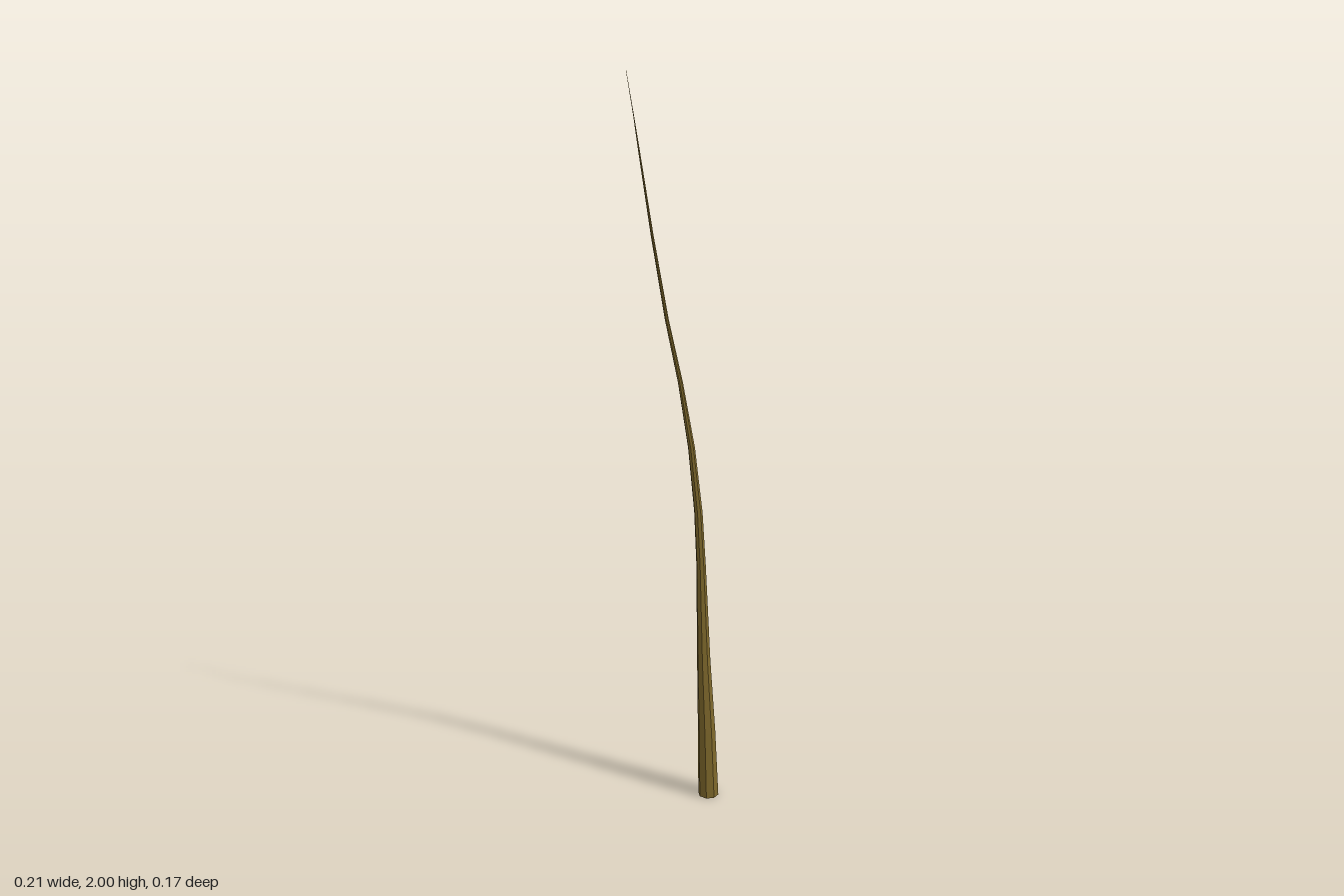
import * as THREE from 'three';

// Cross-sections from base to tip: [x, y, z, radius]
const RINGS = [
  [0.076, 0, -0.057, 0.028],
  [0.071, 0.2, -0.052, 0.024],
  [0.063, 0.42, -0.046, 0.018],
  [0.056, 0.7, -0.038, 0.0125],
  [0.049, 0.85, -0.034, 0.011],
  [0.032, 1.03, -0.026, 0.009],
  [0.007, 1.21, -0.007, 0.0065],
  [-0.023, 1.38, 0.015, 0.005],
  [-0.053, 1.6, 0.043, 0.0035],
  [-0.079, 1.82, 0.071, 0.002],
  [-0.091, 1.89, 0.065, 0.001],
  [-0.104, 2, 0.084, 0.0004],
];

// Bends and tapers a unit cylinder so each of its rings lands on a section
function taperedStem(rings, sides) {
  const segments = rings.length - 1;
  const geometry = new THREE.CylinderGeometry(1, 1, segments, sides, segments);
  const pos = geometry.attributes.position;
  for (let i = 0; i < pos.count; i++) {
    const [x, y, z, r] = rings[Math.round(pos.getY(i) + segments / 2)];
    pos.setXYZ(i, x + pos.getX(i) * r, y, z + pos.getZ(i) * r);
  }
  geometry.computeVertexNormals();
  return geometry;
}

export function createModel() {
  const group = new THREE.Group();
  group.name = 'taperedStem';
  const material = new THREE.MeshStandardMaterial({ color: 0x7d672b, flatShading: true });

  // Curved eight-sided stem with a closed base and needle-thin tip
  const stem = new THREE.Mesh(taperedStem(RINGS, 8), material);
  stem.name = 'stem';
  group.add(stem);
  return group;
}
